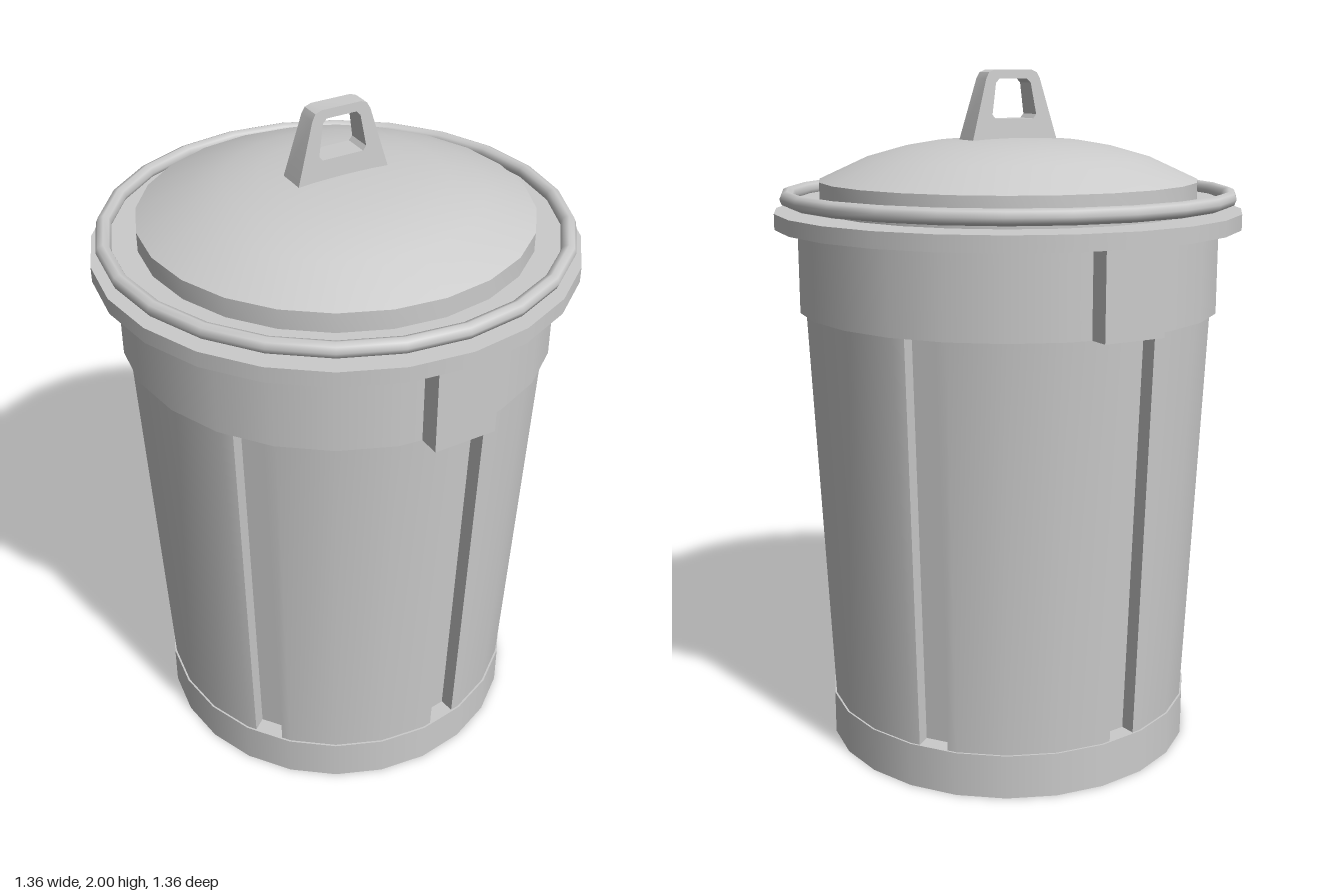
import * as THREE from 'three';
import { toCreasedNormals } from 'three/addons/utils/BufferGeometryUtils.js';

const SIDES = 24;
const material = new THREE.MeshStandardMaterial({ color: 0xcccccc });

function add(parent, name, geometry) {
  const mesh = new THREE.Mesh(geometry, material);
  mesh.name = name;
  parent.add(mesh);
  return mesh;
}

// Closed upright drum between two heights
function drum(radius, y0, y1) {
  return new THREE.CylinderGeometry(radius, radius, y1 - y0, SIDES).translate(0, (y0 + y1) / 2, 0);
}

// Cross-section of the body: a 24-gon with a groove in every fourth side
function bodyRing(radius, y) {
  const ring = [];
  const step = (Math.PI * 2) / SIDES;
  const halfWidth = 0.044, depth = 0.045;
  for (let i = 0; i < SIDES; i++) {
    const a = i * step;
    ring.push([radius * Math.sin(a), y, radius * Math.cos(a)]);
    if (i % 4 !== 0) continue;
    const m = a + step / 2, s = Math.sin(m), c = Math.cos(m);
    const out = radius * Math.cos(step / 2);
    for (const [t, n] of [[-halfWidth, out], [-halfWidth, out - depth], [halfWidth, out - depth], [halfWidth, out]]) {
      ring.push([n * s + t * c, y, n * c - t * s]);
    }
  }
  return ring;
}

function bodyGeometry() {
  const low = bodyRing(0.546, 0.12), high = bodyRing(0.6, 1.33);
  const positions = [];
  low.forEach((a, i) => {
    const j = (i + 1) % low.length;
    positions.push(...a, ...low[j], ...high[j], ...a, ...high[j], ...high[i]);
  });
  const geometry = new THREE.BufferGeometry();
  geometry.setAttribute('position', new THREE.Float32BufferAttribute(positions, 3));
  return toCreasedNormals(geometry, 0.6);
}

// Tapered loop handle, thicker towards its foot
function knobGeometry() {
  const points = (list) => list.map(([x, y]) => new THREE.Vector2(x, y));
  const shape = new THREE.Shape(points([
    [-0.142, 1.79], [0.142, 1.79], [0.088, 1.975], [0.078, 1.993], [0.06, 2],
    [-0.06, 2], [-0.078, 1.993], [-0.088, 1.975],
  ]));
  shape.holes.push(new THREE.Path(points([
    [-0.062, 1.863], [-0.072, 1.875], [-0.057, 1.963], [-0.045, 1.975],
    [0.045, 1.975], [0.057, 1.963], [0.072, 1.875], [0.062, 1.863],
  ])));
  const geometry = new THREE.ExtrudeGeometry(shape, { depth: 2, bevelEnabled: false }).translate(0, 0, -1);
  const p = geometry.attributes.position;
  for (let i = 0; i < p.count; i++) {
    const foot = (2 - p.getY(i)) / 0.21;
    p.setZ(i, p.getZ(i) * (0.028 + 0.015 * foot));
  }
  return toCreasedNormals(geometry, 0.6);
}

export function createModel() {
  const model = new THREE.Group();
  model.name = 'dustbin';

  // Container
  add(model, 'base', drum(0.552, 0, 0.13));
  add(model, 'groovedBody', bodyGeometry());
  add(model, 'upperBand', drum(0.617, 1.32, 1.57));
  add(model, 'rim', drum(0.682, 1.56, 1.605));

  // Block grips on the front and back of the band
  for (const side of [1, -1]) {
    const grip = add(model, side > 0 ? 'frontGrip' : 'backGrip', new THREE.BoxGeometry(0.185, 0.245, 0.165));
    grip.position.set(0, 1.4425, side * 0.583);
  }

  // Lid with domed top, brim and rolled edge
  const lid = new THREE.Group();
  lid.name = 'lid';
  model.add(lid);
  const profile = [
    [0.552, 1.6], [0.552, 1.69], [0.41, 1.755], [0.31, 1.783], [0.21, 1.8], [0.1, 1.807], [0, 1.81],
  ].map(([r, y]) => new THREE.Vector2(r, y));
  add(lid, 'dome', toCreasedNormals(new THREE.LatheGeometry(profile, SIDES), 0.6));
  add(lid, 'brim', drum(0.643, 1.622, 1.634));
  add(lid, 'rolledEdge', new THREE.TorusGeometry(0.643, 0.022, 8, SIDES).rotateX(Math.PI / 2).translate(0, 1.645, 0));
  add(lid, 'lidHandle', knobGeometry());

  return model;
}
